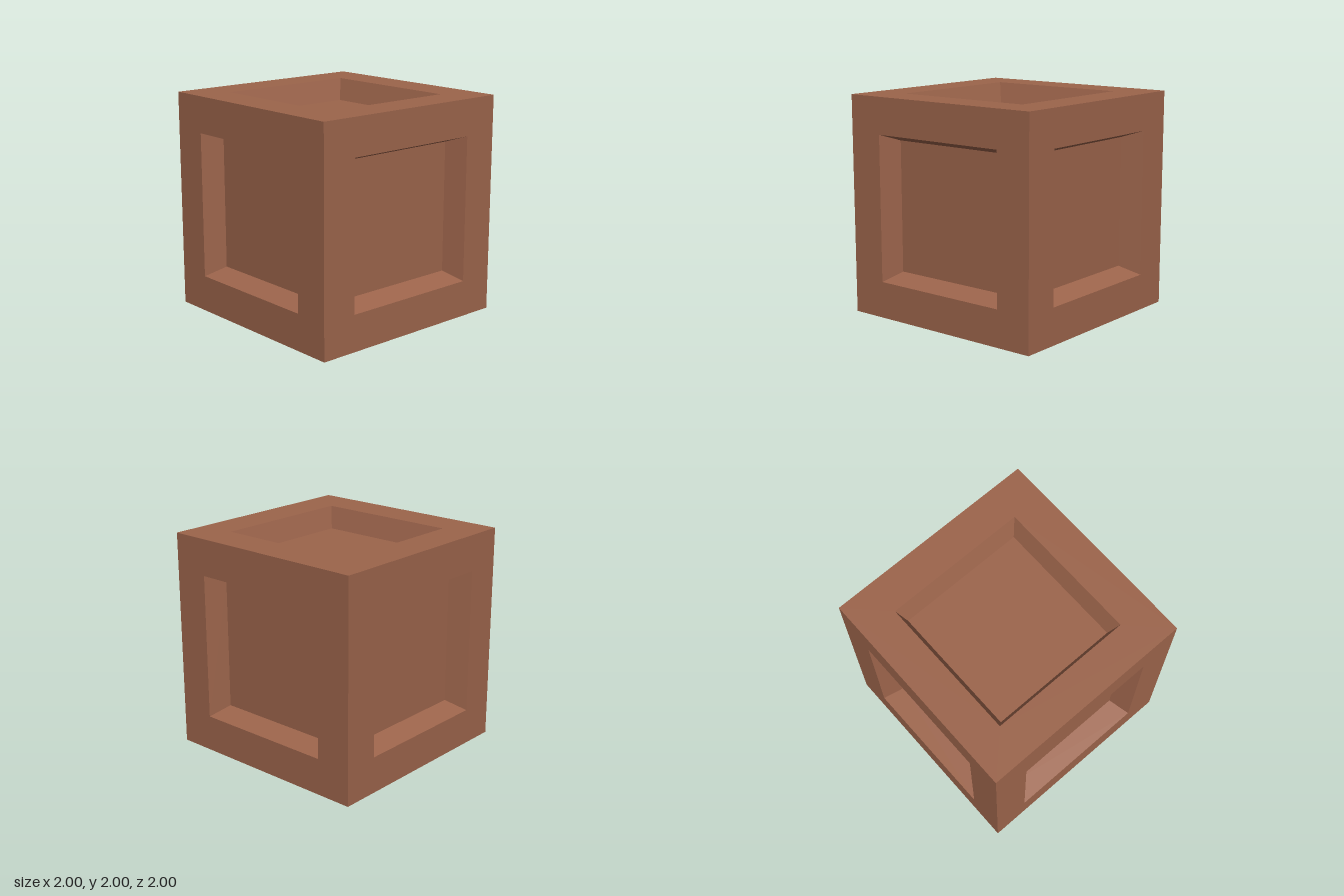
import * as THREE from 'three';

const HALF = 1;       // half the cube's side
const RIM = 2 / 3;    // half width of the recess opening
const FLOOR = 0.6;    // half width of the recess floor
const DEPTH = 0.2;    // depth of the recess

const squarePath = (path, h) =>
  path.moveTo(-h, -h).lineTo(h, -h).lineTo(h, h).lineTo(-h, h).closePath();

// Flat border around the recess, facing +z
function frameGeometry() {
  const shape = squarePath(new THREE.Shape(), HALF);
  shape.holes.push(squarePath(new THREE.Path(), RIM));
  return new THREE.ShapeGeometry(shape).translate(0, 0, HALF);
}

// Four sloping walls that lead down into the recess
function bevelGeometry() {
  const profile = [
    new THREE.Vector2(RIM * Math.SQRT2, HALF),
    new THREE.Vector2(FLOOR * Math.SQRT2, HALF - DEPTH),
  ];
  const geometry = new THREE.LatheGeometry(profile, 4, Math.PI / 4)
    .rotateX(Math.PI / 2)
    .toNonIndexed();
  geometry.computeVertexNormals();
  return geometry;
}

export function createModel() {
  const model = new THREE.Group();
  model.name = 'crate';

  const wood = new THREE.MeshStandardMaterial({ color: 0x9c644b });
  wood.name = 'reddish brown wood';

  const add = (parent, name, geometry) => {
    const mesh = new THREE.Mesh(geometry, wood);
    mesh.name = name;
    parent.add(mesh);
    return mesh;
  };

  const frame = frameGeometry();
  const bevel = bevelGeometry();
  const panel = new THREE.PlaneGeometry(2 * FLOOR, 2 * FLOOR).translate(0, 0, HALF - DEPTH);

  // Five recessed sides, each the same face turned into place
  const sides = [
    ['front', 0, 0],
    ['left', 0, Math.PI / 2],
    ['back', 0, Math.PI],
    ['right', 0, -Math.PI / 2],
    ['top', -Math.PI / 2, 0],
  ];
  for (const [name, rx, ry] of sides) {
    const side = new THREE.Group();
    side.name = `${name}Side`;
    side.position.y = HALF;
    side.rotation.set(rx, ry, 0);
    add(side, `${name}Frame`, frame);
    add(side, `${name}Bevel`, bevel);
    add(side, `${name}Panel`, panel);
    model.add(side);
  }

  // Plain flat underside
  add(model, 'base', new THREE.PlaneGeometry(2 * HALF, 2 * HALF).rotateX(Math.PI / 2));

  return model;
}
